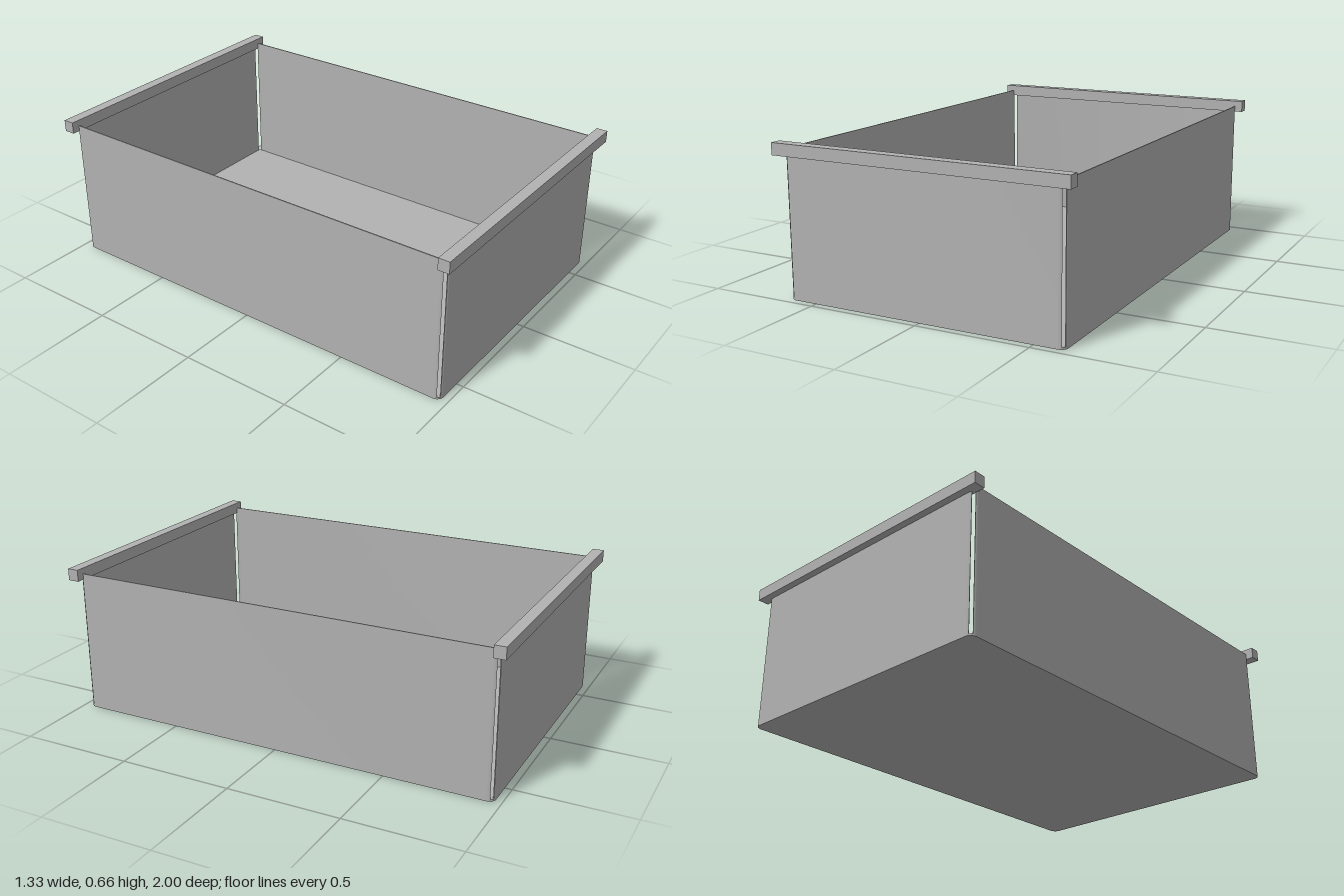
import * as THREE from 'three';
import { toCreasedNormals } from 'three/addons/utils/BufferGeometryUtils.js';

const CX = 0.601, CZ = 0.94;      // centres of the rounded corners
const R = 0.03, T = 0.005;        // corner radius and sheet thickness
const FLOOR = 0.008, TOP = 0.635; // floor thickness and wall height
const Q = Math.PI / 2, A = Math.PI / 6;

// Extrudes a plan outline upwards from y0
function extrudeUp(shape, y0, height) {
  const geo = new THREE.ExtrudeGeometry(shape, { depth: height, bevelEnabled: false, curveSegments: 6 });
  geo.rotateX(-Q);
  geo.translate(0, y0, 0);
  return toCreasedNormals(geo, 0.5);
}

// Thin wall whose two ends curl a third of the way round the corner, leaving a slit
function wallGeometry(a, b) {
  const s = new THREE.Shape();
  s.absarc(a, b, R, Q - A, Q, false);
  s.absarc(-a, b, R, Q, Q + A, false);
  s.absarc(-a, b, R - T, Q + A, Q, true);
  s.absarc(a, b, R - T, Q, Q - A, true);
  s.closePath();
  return extrudeUp(s, FLOOR, TOP - FLOOR);
}

// Floor plate with four rounded corners
function floorGeometry() {
  const s = new THREE.Shape();
  [[1, 1], [-1, 1], [-1, -1], [1, -1]].forEach(([x, z], i) =>
    s.absarc(x * CX, z * CZ, R, i * Q, (i + 1) * Q, false));
  s.closePath();
  return extrudeUp(s, 0, FLOOR);
}

export function createModel() {
  const group = new THREE.Group();
  group.name = 'drawerTray';
  const grey = new THREE.MeshStandardMaterial({ color: 0xb2b2b2 });
  grey.name = 'grey';

  const add = (name, geo, turn = 0) => {
    const mesh = new THREE.Mesh(geo, grey);
    mesh.name = name;
    mesh.rotation.y = turn;
    group.add(mesh);
    return mesh;
  };

  add('floor', floorGeometry());

  // Walls
  const endWall = wallGeometry(CX, CZ);
  const sideWall = wallGeometry(CZ, CX);
  add('backWall', endWall);
  add('frontWall', endWall, Math.PI);
  add('leftWall', sideWall, -Q);
  add('rightWall', sideWall, Q);

  // Hanging rails across both ends
  const rail = new THREE.BoxGeometry(1.33, 0.052, 0.05);
  add('frontRail', rail).position.set(0, 0.635, 0.975);
  add('backRail', rail).position.set(0, 0.635, -0.975);

  return group;
}
